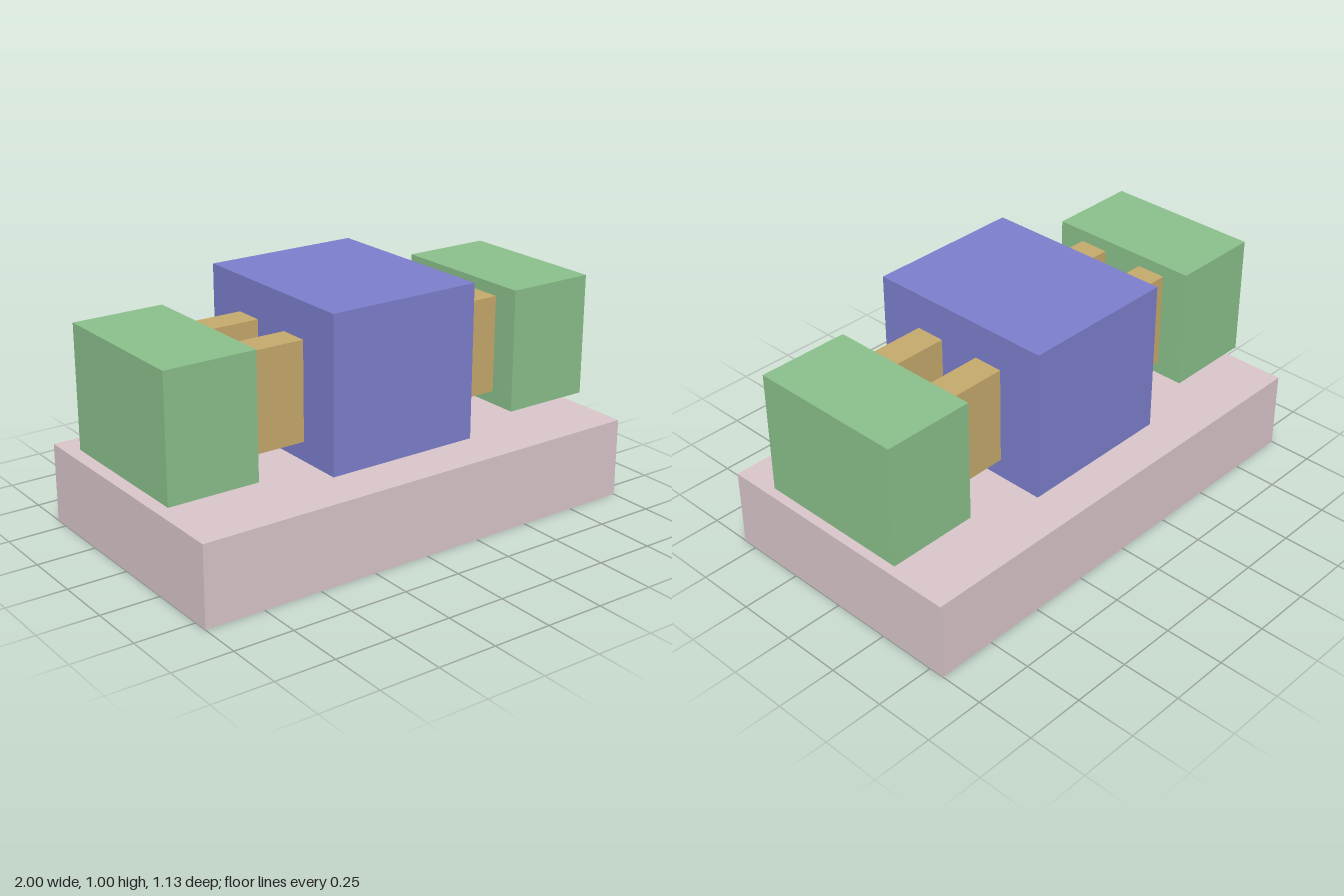
import * as THREE from 'three';

// Box given by its [min, max] extents on each axis
function block(name, color, [x0, x1], [y0, y1], [z0, z1]) {
  const mesh = new THREE.Mesh(
    new THREE.BoxGeometry(x1 - x0, y1 - y0, z1 - z0),
    new THREE.MeshStandardMaterial({ color })
  );
  mesh.position.set((x0 + x1) / 2, (y0 + y1) / 2, (z0 + z1) / 2);
  mesh.name = name;
  return mesh;
}

export function createModel() {
  const model = new THREE.Group();
  model.name = 'blockAssembly';

  // Base slab, with a small gap below the floating blocks
  model.add(block('baseSlab', 0xd8c5c9, [-1, 1], [0, 0.333], [-0.565, 0.565]));

  // Large central block
  model.add(block('centreBlock', 0x7b7ecb, [-0.333, 0.333], [0.36, 1], [-0.41, 0.41]));

  // End blocks, each joined to the centre by two upright plates
  for (const [side, s] of [['left', 1], ['right', -1]]) {
    const span = (a, b) => (s > 0 ? [a, b] : [-b, -a]);
    model.add(block(side + 'EndBlock', 0x8abf8a, span(0.615, 1), [0.385, 0.9], [-0.333, 0.333]));
    model.add(block(side + 'FrontPlate', 0xc4a96c, span(0.333, 0.615), [0.44, 0.85], [0.09, 0.217]));
    model.add(block(side + 'BackPlate', 0xc4a96c, span(0.333, 0.615), [0.44, 0.85], [-0.217, -0.09]));
  }

  return model;
}
